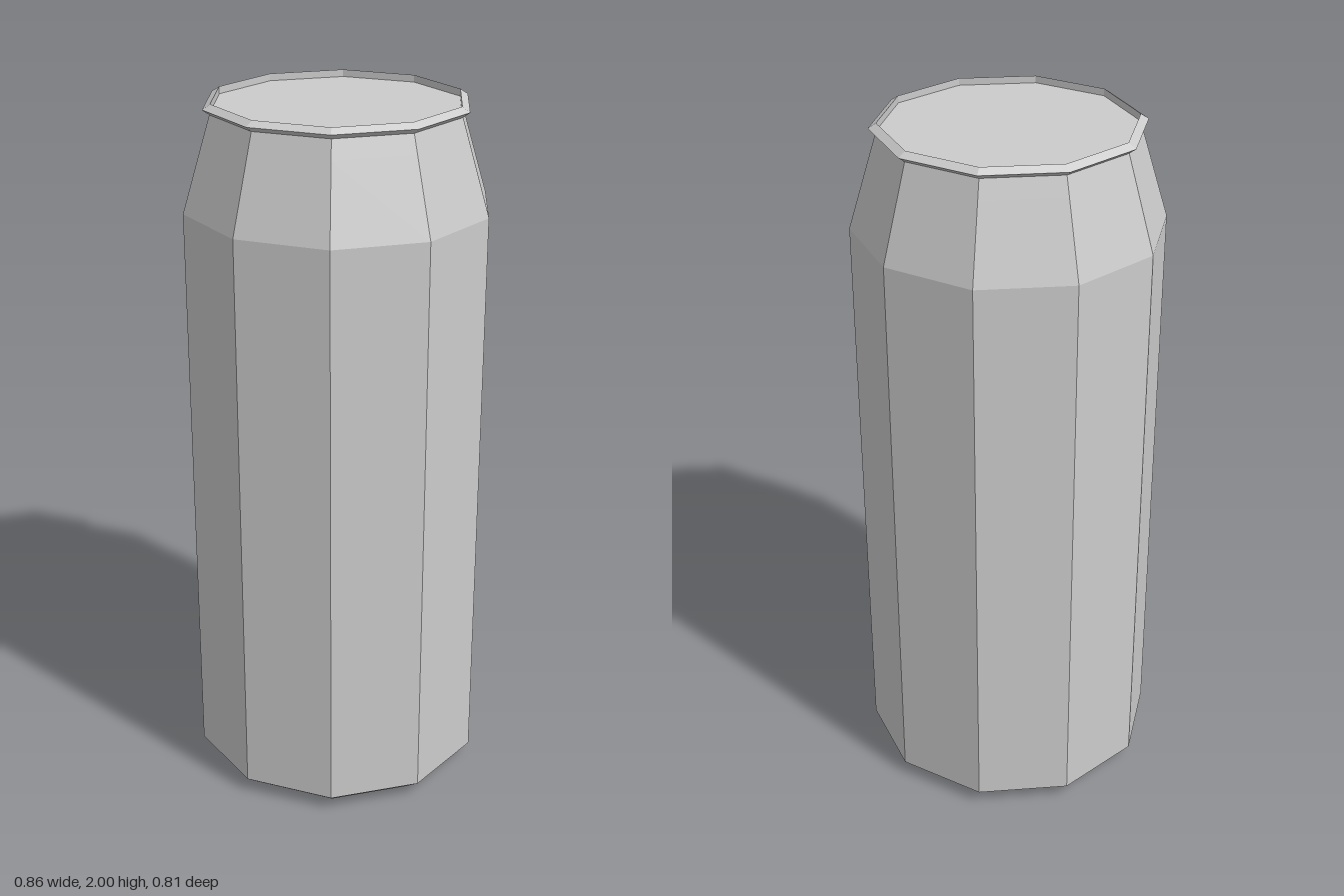
import * as THREE from 'three';

const SIDES = 10;

export function createModel() {
  const group = new THREE.Group();
  group.name = 'drinkCan';
  const material = new THREE.MeshStandardMaterial({ color: 0xcccccc, flatShading: true });

  // Turned part from [radius, height] pairs, with corners on the x axis
  const turn = (name, profile) => {
    const points = profile.map(([r, y]) => new THREE.Vector2(r, y));
    const geometry = new THREE.LatheGeometry(points, SIDES, Math.PI / 2);
    const mesh = new THREE.Mesh(geometry, material);
    mesh.name = name;
    group.add(mesh);
  };

  // Flat base with bevelled foot
  turn('base', [[0, 0], [0.37, 0], [0.428, 0.045]]);
  // Straight wall
  turn('body', [[0.428, 0.045], [0.428, 1.71]]);
  // Shoulder tapering in two steps
  turn('shoulder', [[0.428, 1.71], [0.364, 1.92], [0.348, 1.972]]);
  // Rolled rim with a short inner wall
  turn('rim', [[0.348, 1.972], [0.367, 1.986], [0.345, 2], [0.345, 1.98]]);
  // Slightly sunken lid
  turn('lid', [[0.345, 1.98], [0, 1.98]]);

  return group;
}
